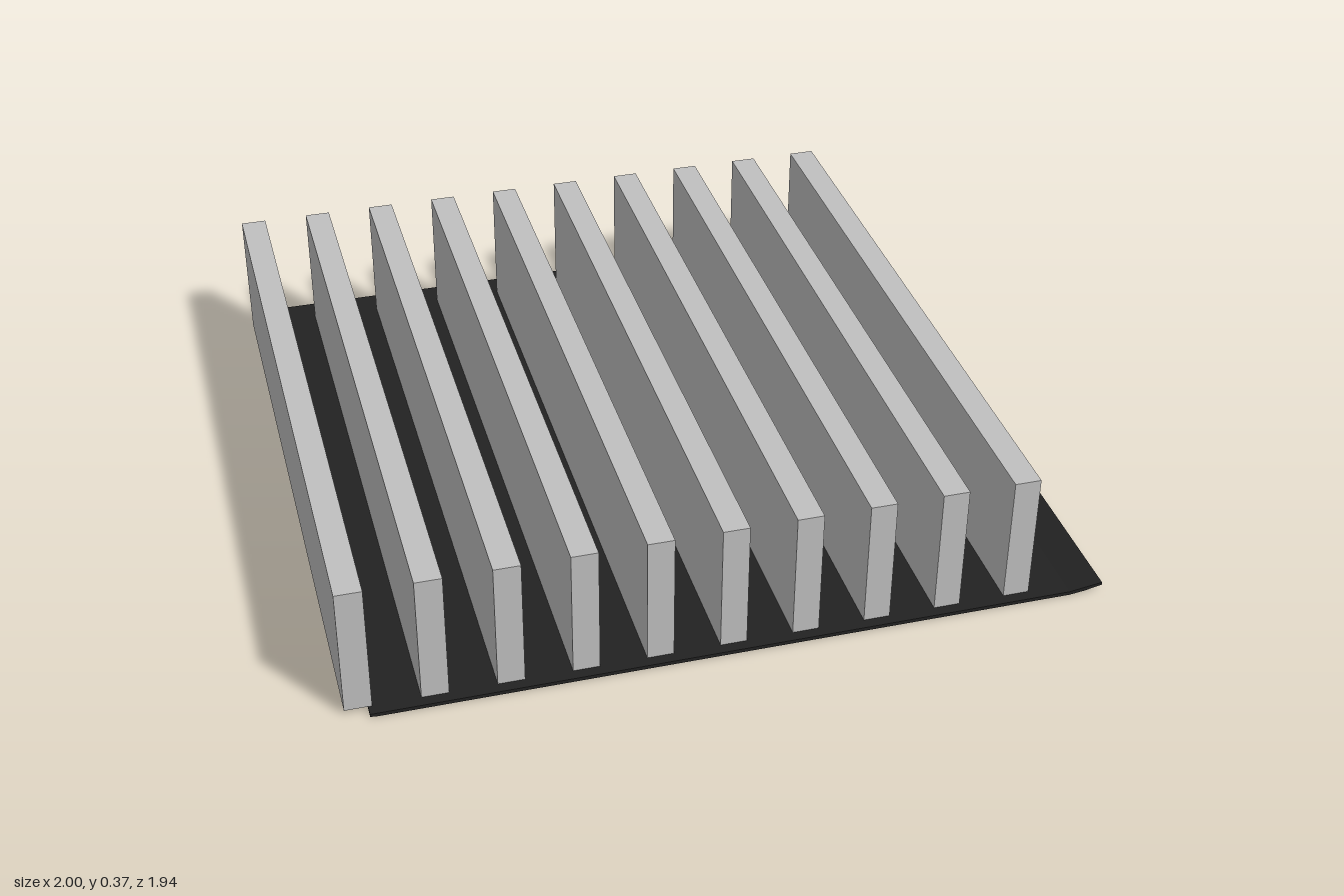
import * as THREE from 'three';

export function createModel() {
  const model = new THREE.Group();
  const barMaterial = new THREE.MeshStandardMaterial({ color: 0xc0c0c0 });
  barMaterial.name = 'light grey';
  const sheetMaterial = new THREE.MeshStandardMaterial({ color: 0x222222 });
  sheetMaterial.name = 'near black';

  // thin base sheet whose left edge curls up slightly
  const profile = new THREE.Shape();
  profile.moveTo(-0.94, 0.002);
  profile.lineTo(-0.92, 0);
  profile.lineTo(0.91, 0);
  profile.lineTo(0.95, 0.005);
  profile.lineTo(1, 0.015);
  profile.lineTo(1, 0.023);
  profile.lineTo(0.95, 0.016);
  profile.lineTo(0.91, 0.01);
  profile.lineTo(-0.94, 0.01);
  const sheetGeometry = new THREE.ExtrudeGeometry(profile, { depth: 1.94, bevelEnabled: false });
  sheetGeometry.translate(0, 0, -0.97);
  const sheet = new THREE.Mesh(sheetGeometry, sheetMaterial);
  sheet.name = 'baseSheet';
  model.add(sheet);

  // row of upright bars, the first overhanging the sheet
  const bars = new THREE.Group();
  bars.name = 'bars';
  const barGeometry = new THREE.BoxGeometry(0.07, 0.36, 1.835);
  for (let i = 0; i < 10; i++) {
    const bar = new THREE.Mesh(barGeometry, barMaterial);
    bar.name = `bar${i + 1}`;
    bar.position.set(-0.965 + i * 0.1927, 0.191, 0.024);
    bars.add(bar);
  }
  model.add(bars);
  return model;
}
